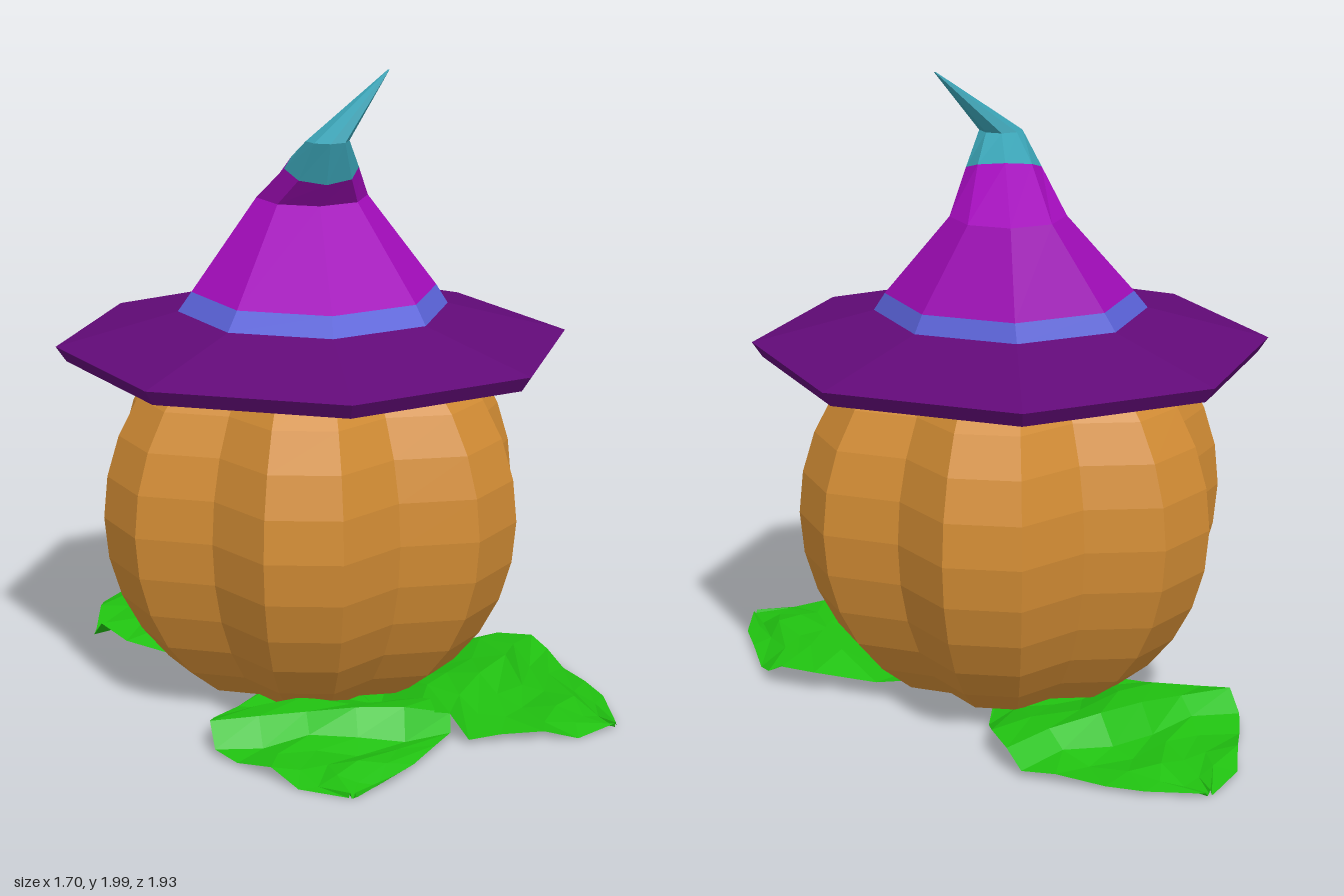
import * as THREE from 'three';

const flat = (name, color, side = THREE.FrontSide) => {
  const m = new THREE.MeshStandardMaterial({ color, flatShading: true, side });
  m.name = name;
  return m;
};

// Joins equal-length rows of points into quads; closed rows wrap around.
function loft(name, rows, material, closed = true) {
  const n = rows[0].length;
  const index = [];
  for (let r = 0; r < rows.length - 1; r++) {
    for (let i = 0; i < (closed ? n : n - 1); i++) {
      const j = (i + 1) % n;
      const a = r * n + i, b = r * n + j, c = a + n, d = b + n;
      index.push(a, b, d, a, d, c);
    }
  }
  const g = new THREE.BufferGeometry();
  g.setAttribute('position', new THREE.Float32BufferAttribute(rows.flat(2), 3));
  g.setIndex(index);
  g.computeVertexNormals();
  const mesh = new THREE.Mesh(g, material);
  mesh.name = name;
  return mesh;
}

// Horizontal ring of points; tilt lowers its front and lifts its back.
function ring(n, x, y, z, r, tilt = 0, scale = () => 1) {
  return Array.from({ length: n }, (_, i) => {
    const a = (i / n) * Math.PI * 2;
    const s = r * scale(i);
    return [x + s * Math.sin(a), y - tilt * Math.cos(a), z + s * Math.cos(a)];
  });
}

export function createModel() {
  const group = new THREE.Group();
  const orange = flat('pumpkin orange', 0xd28c34);
  const darkPurple = flat('brim purple', 0x620a78);
  const purple = flat('hat purple', 0xa20cba);
  const blue = flat('band blue', 0x5a62d8);
  const teal = flat('tip teal', 0x3aa2b4);
  const green = flat('leaf green', 0x20c010, THREE.DoubleSide);

  // Pumpkin: 18 strips, every third corner pulled in to a groove
  const cx = -0.03, cz = -0.03, R = 0.69, cy = 0.62;
  const groove = i => (i % 3 === 1 ? 0.83 : 1);
  const body = [[0.002, 0.09], [0.13, 0.06], [0.27, 0.035]];
  for (let k = -5; k <= 7; k++) {
    const a = (k * Math.PI) / 16;
    body.push([R * Math.cos(a), cy + R * Math.sin(a)]);
  }
  body.push([0.002, 1.27]);
  group.add(loft('pumpkin', body.map(([r, y]) => ring(18, cx, y, cz, r, 0, groove)), orange));

  // Hat: eight-sided, bending forward and then sideways at the tip
  const hx = -0.025, hz = -0.035;
  const bandLow = ring(8, hx, 1.25, hz, 0.432);
  const bandTop = ring(8, -0.02, 1.308, -0.05, 0.392);
  const bend = ring(8, -0.01, 1.58, -0.18, 0.18);
  const tipLow = ring(8, -0.003, 1.7, -0.013, 0.118, 0.034);
  const tipBend = ring(8, 0.003, 1.8, 0.08, 0.068);
  const tipEnd = ring(8, 0.21, 2.0, -0.03, 0.003);
  const hat = new THREE.Group();
  hat.name = 'hat';
  hat.add(
    loft('hatBrim', [
      ring(8, hx, 1.2, hz, 0.4),
      ring(8, hx, 1.1, hz, 0.785),
      ring(8, hx, 1.148, hz, 0.818),
      bandLow,
    ], darkPurple),
    loft('hatBand', [bandLow, bandTop], blue),
    loft('hatCone', [bandTop, bend, tipLow], purple),
    loft('hatTip', [tipLow, tipBend, tipEnd], teal),
  );
  group.add(hat);

  // Leaves: distance from the centre, half width, height
  const leafRows = [
    [0.08, 0.1, 0.05], [0.3, 0.27, 0.035], [0.46, 0.36, 0.1], [0.57, 0.38, 0.115],
    [0.63, 0.37, 0.04], [0.71, 0.31, 0.03], [0.82, 0.22, 0.04], [0.91, 0.15, 0.022], [1.0, 0.012, 0.012],
  ];
  const leaf = (name, degrees, size, skew, seed) => {
    const a = THREE.MathUtils.degToRad(degrees);
    const u = [Math.sin(a), Math.cos(a)], v = [Math.cos(a), -Math.sin(a)];
    const rows = leafRows.map(([d, w, h], r) =>
      [-1, -0.6, -0.2, 0.2, 0.6, 1].map((t, c) => {
        // ripple the sheet and curl its sides toward the ground
        const wave = Math.sin(r * 2.3 + c * 1.9 + seed) * 0.013;
        const y = Math.min(0.122, Math.max(0.006, h * (1 - 0.25 * t * t) + wave));
        const along = d * size + 0.02 * Math.sin(c * 2.1 + seed) * (r < 8 ? 1 : 0);
        const across = t * w * size + skew * Math.sin(Math.PI * d);
        return [cx + u[0] * along + v[0] * across, y, cz + u[1] * along + v[1] * across];
      }));
    return loft(name, rows.reverse(), green, false);
  };
  group.add(
    leaf('frontLeaf', -1, 0.985, -0.01, 0.4),
    leaf('leftLeaf', 57, 1.045, 0.08, 1.7),
    leaf('backLeaf', 210, 1.085, 0, 3.1),
  );
  return group;
}
